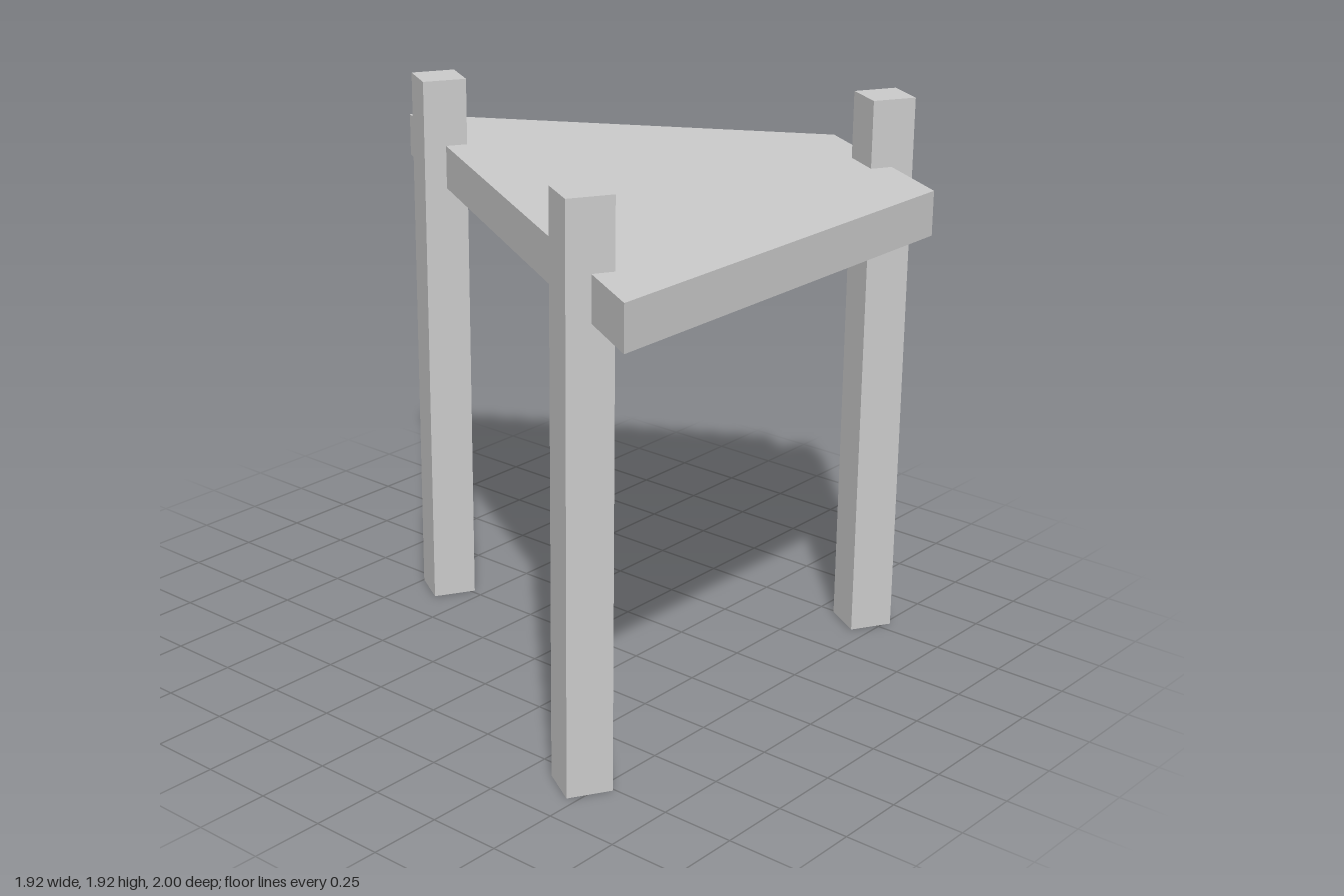
import * as THREE from 'three';

export function createModel() {
  const group = new THREE.Group();
  const material = new THREE.MeshStandardMaterial({ color: 0xcccccc, flatShading: true });

  // Four-sided slab, outlined in x and z, extruded downwards from its upper face
  const outline = [[0.19, -1], [0.96, 0.33], [0.575, 1], [-0.96, 1]];
  const shape = new THREE.Shape(outline.map(([x, z]) => new THREE.Vector2(x, z)));
  const slab = new THREE.ExtrudeGeometry(shape, { depth: 0.15, bevelEnabled: false });
  slab.rotateX(Math.PI / 2);
  const tableTop = new THREE.Mesh(slab, material);
  tableTop.name = 'tableTop';
  tableTop.position.y = 1.695;
  group.add(tableTop);

  // Square posts aligned with the slanted edges, rising past the slab
  const legHeight = 1.925;
  const legGeometry = new THREE.BoxGeometry(0.152, legHeight, 0.152);
  const legs = { backLeg: [-0.015, -0.645], frontRightLeg: [-0.785, 0.69], frontLeftLeg: [0.769, 0.664] };
  for (const [name, [x, z]] of Object.entries(legs)) {
    const leg = new THREE.Mesh(legGeometry, material);
    leg.name = name;
    leg.position.set(x, legHeight / 2, z);
    leg.rotation.y = -Math.PI / 6;
    group.add(leg);
  }
  return group;
}
